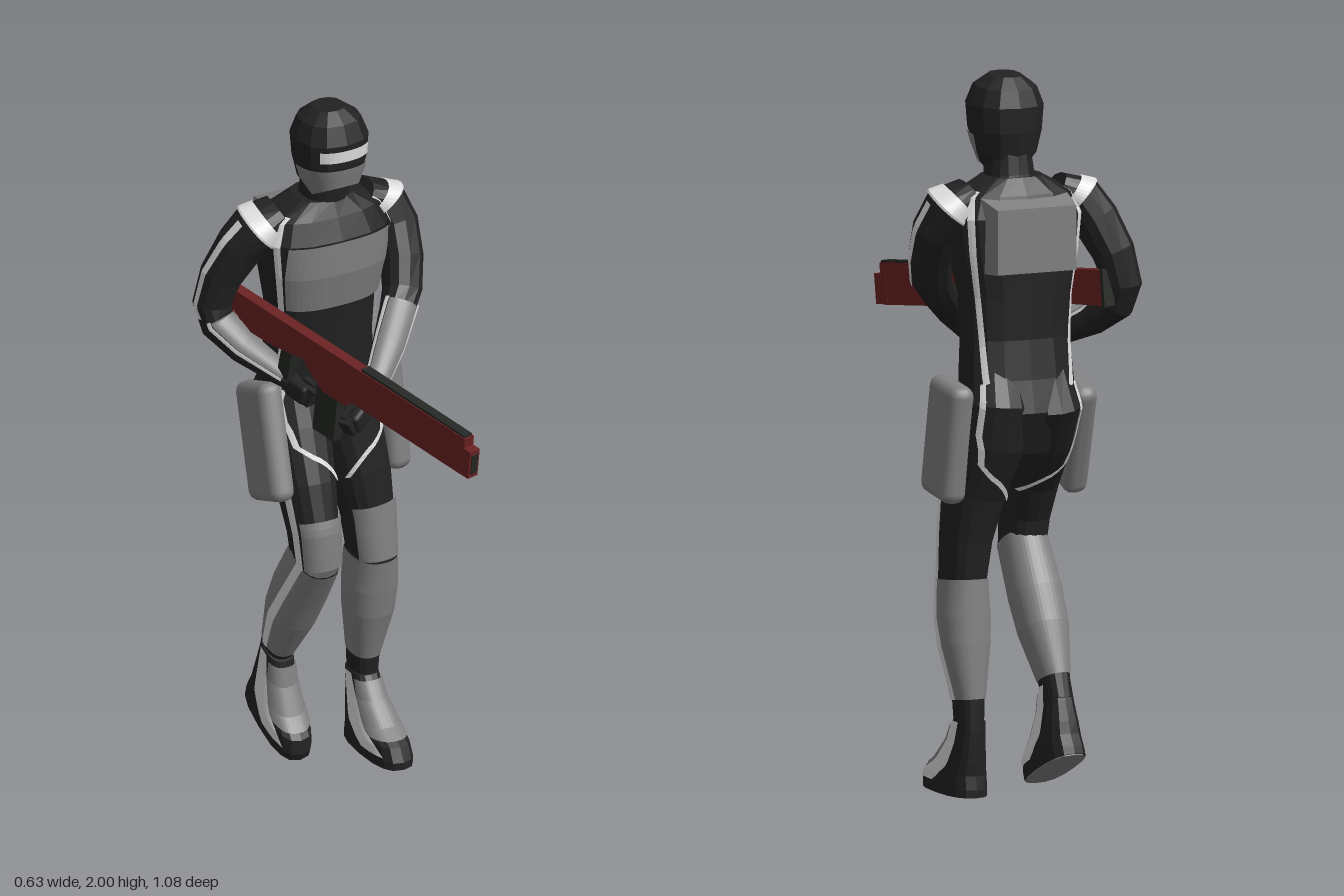
import * as THREE from 'three';
import { RoundedBoxGeometry } from 'three/addons/geometries/RoundedBoxGeometry.js';

const mat = (name, color) => {
  const m = new THREE.MeshStandardMaterial({ color });
  m.name = name;
  return m;
};
const V = (x, y, z) => new THREE.Vector3(x, y, z);
const RAD = Math.PI / 180;

// Surface through rings [x, y, z, halfWidth, halfDepth]; angle 0 = front, 90 = model's left
function surface(rings, { level = false, power = 0.85 } = {}) {
  const c = rings.map(r => V(r[0], r[1], r[2]));
  const frames = rings.map((r, i) => {
    const t = level ? V(0, 1, 0)
      : c[Math.min(i + 1, c.length - 1)].clone().sub(c[Math.max(i - 1, 0)]).normalize();
    const a = V(1, 0, 0).addScaledVector(t, -t.x).normalize();
    return { a, b: a.clone().cross(t) };
  });
  const shape = s => Math.sign(s) * Math.abs(s) ** power;
  const at = (i, deg, off) => c[i].clone()
    .addScaledVector(frames[i].a, (rings[i][3] + off) * shape(Math.sin(deg * RAD)))
    .addScaledVector(frames[i].b, (rings[i][4] + off) * shape(Math.cos(deg * RAD)));
  const point = (v, deg, off = 0) => {
    const i = Math.min(Math.floor(v), rings.length - 2);
    return at(i, deg, off).lerp(at(i + 1, deg, off), v - i);
  };
  return { point, c, last: rings.length - 1 };
}

// Faceted geometry from a list of triangles' corner points
function facets(points) {
  const g = new THREE.BufferGeometry().setFromPoints(points);
  g.computeVertexNormals();
  return g;
}

function quads(rows, out = []) {
  for (let i = 0; i + 1 < rows.length; i++)
    for (let j = 0; j + 1 < rows[i].length; j++) {
      const a = rows[i][j], b = rows[i][j + 1], c = rows[i + 1][j + 1], d = rows[i + 1][j];
      out.push(a, b, c, a, c, d);
    }
  return out;
}

// Closed body of a surface
function loft(s, sides = 16) {
  const rows = s.c.map((_, i) => Array.from({ length: sides + 1 }, (_, j) => s.point(i, j * 360 / sides)));
  const out = quads(rows);
  for (let j = 0; j < sides; j++)
    out.push(s.c[0], rows[0][j + 1], rows[0][j], s.c[s.last], rows[s.last][j], rows[s.last][j + 1]);
  return facets(out);
}

// Thin painted plate lying on a surface; rows are [v, fromAngle, toAngle], v rising
function plate(s, rows, off = 0.004) {
  const grid = [];
  for (let i = 0; i + 1 < rows.length; i++)
    for (let k = i ? 1 : 0; k <= 8; k++) {
      const [v, a, b] = rows[i].map((x, n) => x + (rows[i + 1][n] - x) * k / 8);
      const n = Math.max(1, Math.ceil(Math.abs(rows[0][2] - rows[0][1]) / 8));
      grid.push(Array.from({ length: n + 1 }, (_, j) => s.point(v, a + (b - a) * j / n, off)));
    }
  return facets(quads(grid));
}
const stripe = (s, line, w = 6) => plate(s, line.map(([v, a]) => [v, a - w, a + w]), 0.005);

export function createModel() {
  const model = new THREE.Group();
  const black = mat('suit black', 0x222222), grey = mat('armour grey', 0x808080);
  const white = mat('stripe white', 0xdddddd), red = mat('rifle red', 0x6a2222);
  const dark = mat('rifle black', 0x252824);
  const add = (name, geo, m, parent = model) => {
    const mesh = new THREE.Mesh(geo, m);
    mesh.name = name;
    parent.add(mesh);
    return mesh;
  };
  const box = (name, w, h, d, x, y, z, m, parent) =>
    add(name, new THREE.BoxGeometry(w, h, d).translate(x, y, z), m, parent);

  // Head, face mask and visor
  const head = surface([
    [.045, 1.755, -.275, .062, .068], [.045, 1.8, -.3, .085, .098], [.045, 1.85, -.305, .098, .103],
    [.045, 1.92, -.305, .104, .106], [.045, 1.97, -.308, .085, .088], [.045, 2, -.31, .045, .05]]);
  add('head', loft(head, 12), black);
  add('faceMask', plate(head, [[0, -95, 95], [1, -95, 95], [1.8, -95, 95]]), grey);
  add('visor', plate(head, [[2.3, -42, 42], [2.8, -42, 42]]), white);
  add('neck', loft(surface([[.045, 1.66, -.345, .085, .075], [.045, 1.72, -.335, .068, .07],
    [.045, 1.82, -.32, .058, .068]])), black);

  // Torso with chest plate and side stripes
  const torso = surface([
    [.04, .96, -.38, .09, .07], [.04, 1.08, -.385, .16, .112], [.04, 1.17, -.37, .16, .105],
    [.04, 1.28, -.36, .152, .1], [.04, 1.4, -.355, .155, .11], [.04, 1.52, -.345, .178, .125],
    [.04, 1.62, -.343, .192, .125], [.04, 1.68, -.345, .165, .1], [.04, 1.725, -.34, .085, .072]],
    { level: true, power: 0.75 });
  add('torso', loft(torso), black);
  add('chestPlate', plate(torso, [[4.1, -57, 57], [5, -55, 55], [6, -46, 46]], .008), grey);
  for (const s of [-1, 1]) {
    add('frontTorsoStripe', stripe(torso, [[1.5, 62 * s], [4, 66 * s], [6, 62 * s], [7.3, 62 * s]], 5), white);
    add('backTorsoStripe', stripe(torso, [[1, 140 * s], [4, 122 * s], [6, 128 * s], [7.3, 120 * s]], 5), white);
  }

  // Backpack, narrower at the back
  const pack = new THREE.BoxGeometry(.27, .22, .12);
  const p = pack.attributes.position;
  for (let i = 0; i < p.count; i++)
    if (p.getZ(i) < 0) p.setXY(i, p.getX(i) * .88, p.getY(i) * .82 - .01);
  pack.computeVertexNormals();
  add('backpack', pack.translate(.04, 1.575, -.45), grey);

  // Legs
  const legs = [
    { side: 1, thigh: [[.17, .59, -.295, .061, .081], [.165, .72, -.31, .07, .085], [.15, .85, -.33, .085, .095],
      [.125, 1, -.372, .095, .115], [.12, 1.1, -.388, .09, .12], [.11, 1.18, -.37, .075, .09]],
      shin: [[.17, .18, -.345, .037, .05], [.17, .27, -.34, .041, .055], [.172, .42, -.315, .067, .075],
        [.172, .5, -.305, .071, .08], [.17, .6, -.295, .064, .084]],
      foot: [.167, 0, -.34], pitch: 0, pad: [.238, 1, -.35], padTilt: [-.12, 0, .04] },
    { side: -1, thigh: [[-.055, .66, -.2, .061, .078], [-.06, .76, -.208, .066, .084], [-.056, .87, -.252, .078, .092],
      [-.045, 1, -.33, .09, .11], [-.04, 1.1, -.388, .09, .12], [-.03, 1.18, -.37, .075, .09]],
      shin: [[-.06, .26, -.428, .037, .05], [-.06, .32, -.402, .041, .055], [-.058, .45, -.335, .066, .075],
        [-.056, .54, -.287, .07, .08], [-.055, .68, -.2, .063, .08]],
      foot: [-.063, .11, -.49], pitch: .43, pad: [-.148, 1, -.32], padTilt: [-.38, 0, -.06] }];
  for (const { side, thigh, shin, foot, pitch, pad, padTilt } of legs) {
    const leg = new THREE.Group();
    leg.name = side > 0 ? 'leftLeg' : 'rightLeg';
    model.add(leg);
    const t = surface(thigh), sh = surface(shin);
    const mirrored = line => line.map(([v, a]) => [v, a * side]);
    add('thigh', loft(t), black, leg);
    add('kneePad', plate(t, [[0, -62, 62], [1.25, -58, 58]], .006), grey, leg);
    add('frontThighStripe', stripe(t, mirrored([[2, -50], [2.7, 32], [3.3, 45], [4.6, 48]])), white, leg);
    add('backThighStripe', stripe(t, mirrored([[2, 230], [2.7, 150], [3.3, 135], [4.6, 135]])), white, leg);
    add('outerThighStripe', stripe(t, mirrored([[0, 75], [1, 75], [2.2, 72]]), 9), white, leg);
    add('shin', loft(sh), black, leg);
    add('shinArmour', plate(sh, [[1, -180, 180], [2, -180, 180], [3, -180, 180], [4, -180, 180]], .002), grey, leg);
    add('shinStripe', stripe(sh, mirrored([[1, 90], [2, 84], [3, 78], [4, 75]]), 9), white, leg);

    const shoe = new THREE.Group();
    shoe.name = 'shoe';
    shoe.position.set(...foot);
    shoe.rotation.x = pitch;
    leg.add(shoe);
    const f = surface([[0, 0, .095, .06, .145], [0, .022, .095, .06, .145], [0, .06, .088, .058, .132],
      [0, .095, .055, .052, .102], [0, .15, .022, .043, .072], [0, .21, 0, .039, .053]],
      { level: true, power: 0.75 });
    add('shoeBody', loft(f), black, shoe);
    add('instep', plate(f, [[2.35, -70, 70], [3, -72, 72], [4, -75, 75], [4.8, -70, 70]]), grey, shoe);
    for (const s of [-1, 1])
      add('shoeStripe', plate(f, [[1.3, 65 * s - 22, 65 * s + 22], [2.6, 86 * s - 16, 86 * s + 16],
        [4, 88 * s - 14, 88 * s + 14], [5, 90 * s - 12, 90 * s + 12]], .005), white, shoe);
    const sole = surface([[0, -.003, .095, .057, .141], [0, .001, .095, .057, .141]], { level: true, power: 0.75 });
    add('soleFace', loft(sole), grey, shoe).position.y = pitch ? 0 : .003;

    // Hip pad on the outer thigh
    const hip = add('hipPad', new RoundedBoxGeometry(.072, .335, .18, 2, .03), grey, leg);
    hip.position.set(...pad);
    hip.rotation.set(...padTilt);
  }

  // Arms, listed from wrist to shoulder
  const arms = [
    { side: 1, rings: [[-.01, 1.215, 0, .022, .022], [.04, 1.25, -.04, .031, .031], [.12, 1.32, -.11, .043, .042],
      [.19, 1.385, -.18, .049, .049], [.225, 1.425, -.215, .054, .052], [.248, 1.5, -.26, .058, .06],
      [.256, 1.58, -.31, .06, .067], [.235, 1.645, -.345, .062, .075], [.17, 1.685, -.348, .04, .06]],
      hand: [-.035, 1.2, .015], aim: [-.1, 1.17, .05] },
    { side: -1, rings: [[-.12, 1.225, -.19, .022, .022], [-.15, 1.25, -.24, .031, .031], [-.21, 1.3, -.33, .042, .042],
      [-.252, 1.355, -.4, .048, .048], [-.26, 1.41, -.42, .051, .053], [-.237, 1.5, -.408, .057, .06],
      [-.195, 1.59, -.38, .062, .067], [-.155, 1.65, -.355, .062, .075], [-.09, 1.685, -.348, .04, .06]],
      hand: [-.125, 1.22, -.175], aim: [-.1, 1.2, -.1] }];
  for (const { side, rings, hand, aim } of arms) {
    const arm = new THREE.Group();
    arm.name = side > 0 ? 'leftArm' : 'rightArm';
    model.add(arm);
    const s = surface(rings);
    add('sleeve', loft(s, 12), black, arm);
    add('forearmGuard', plate(s, [[.6, -55, 55], [2, -55, 55], [3.2, -45, 45]]), grey, arm);
    for (const a of [-64, 64])
      add('forearmStripe', stripe(s, [[.6, a], [2, a], [3.3, a * .85]], 8), white, arm);
    add('sleeveStripe', stripe(s, [[3.5, 85 * side], [5, 90 * side], [6.8, 90 * side]], 7), white, arm);
    add('shoulderBand', plate(s, [[6.95, -180, 180], [7.5, -180, 180]]), white, arm);

    // Gloved hand: palm, thumb and curled fingers
    const glove = new THREE.Group();
    glove.name = 'hand';
    glove.position.set(...hand);
    arm.add(glove);
    glove.lookAt(...aim);
    add('palm', new RoundedBoxGeometry(.034, .06, .075, 1, .012), black, glove);
    box('thumb', .016, .018, .045, -side * .022, .026, .022, black, glove);
    for (let i = 0; i < 4; i++)
      box('finger', .034, .013, .028, -side * .012, .022 - i * .015, .046 - i * .004, black, glove);
  }

  // Rifle, built along its own z axis
  const rifle = new THREE.Group();
  rifle.name = 'rifle';
  rifle.position.set(-.08, 1.348, .05);
  model.add(rifle);
  rifle.lookAt(.04, 1.29, .535);
  const outline = new THREE.Shape([[.475, .055], [-.51, .05], [-.51, -.05], [-.3, -.045], [-.18, -.025],
    [-.13, -.06], [-.09, -.085], [0, -.085], [.01, -.062], [.475, -.062]].map(q => new THREE.Vector2(...q)));
  add('rifleBody', new THREE.ExtrudeGeometry(outline, { depth: .034, bevelEnabled: false })
    .rotateY(-Math.PI / 2).translate(.017, 0, 0), red, rifle);
  box('muzzle', .036, .085, .05, 0, -.018, .476, red, rifle);
  box('muzzleOpening', .022, .06, .004, 0, -.018, .502, dark, rifle);
  box('topRail', .028, .008, .42, 0, .057, .26, dark, rifle);
  box('magazine', .03, .15, .085, 0, -.145, -.075, dark, rifle);
  box('grip', .03, .12, .042, 0, -.09, -.24, dark, rifle).rotation.x = .1;
  box('buttPad', .036, .104, .012, 0, 0, -.512, dark, rifle);

  return model;
}
